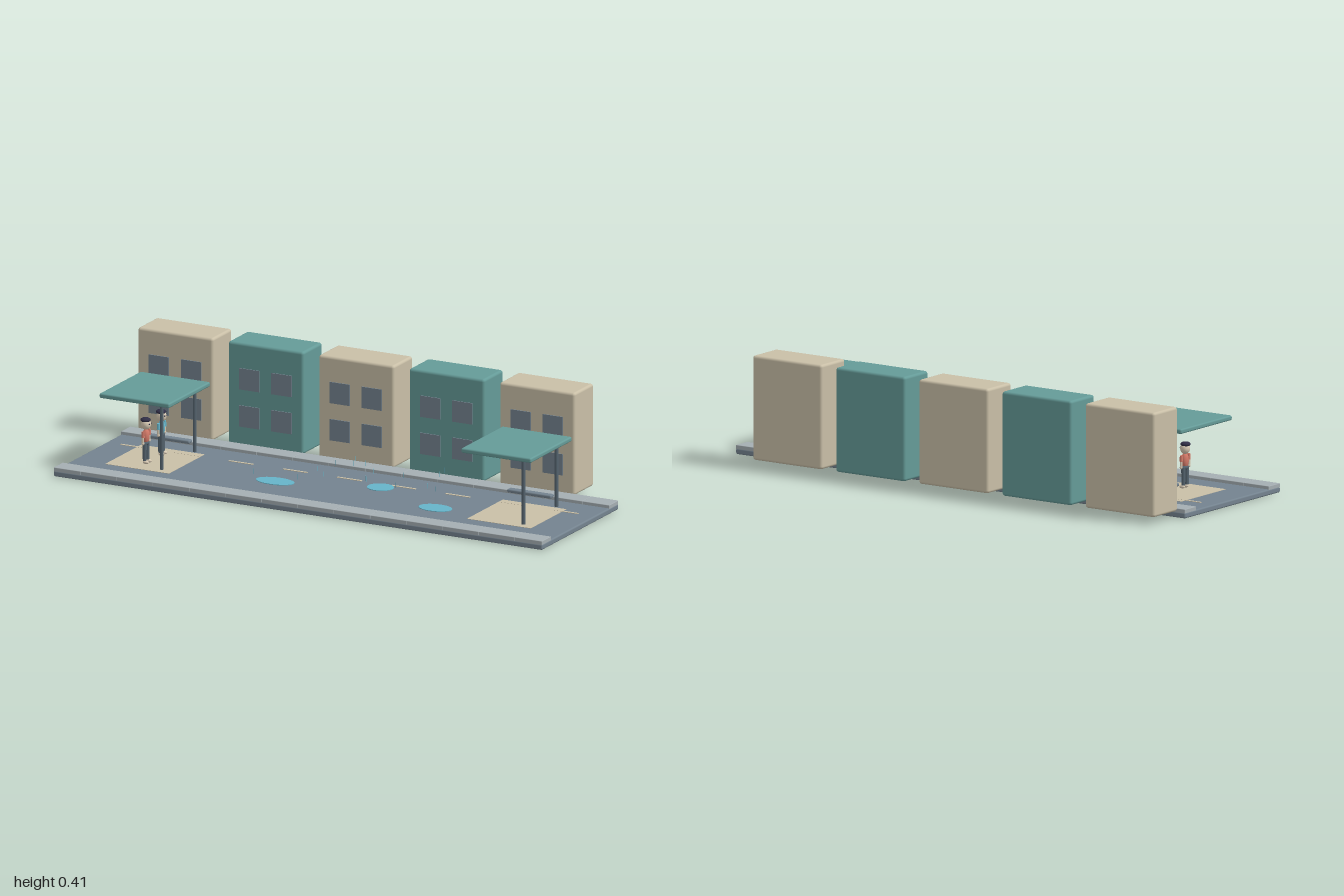
import * as THREE from 'three';
import { RoundedBoxGeometry } from 'three/addons/geometries/RoundedBoxGeometry.js';

const mat = (name, color) => Object.assign(new THREE.MeshStandardMaterial({ color }), { name });

export function createModel() {
  const M = {
    slate: mat('slate', 0x74838f), kerb: mat('kerb grey', 0xa5aeb2), sand: mat('sand', 0xc9bfa7),
    teal: mat('teal', 0x659b98), water: mat('water blue', 0x66b4c9), coral: mat('coral', 0xd47a69),
    navy: mat('dark navy', 0x302e46), post: mat('post grey', 0x55646f), skin: mat('skin', 0xd8cab4),
  };
  const root = new THREE.Group();
  root.name = 'rainyStreet';

  const add = (parent, name, geo, material, x, y, z) => {
    const m = new THREE.Mesh(geo, material);
    m.name = name;
    m.position.set(x, y, z);
    parent.add(m);
    return m;
  };
  // box given by its low and high corners, optionally rounded
  const box = (parent, name, material, x0, x1, y0, y1, z0, z1, r = 0) => {
    const s = [x1 - x0, y1 - y0, z1 - z0];
    const geo = r ? new RoundedBoxGeometry(...s, 3, r) : new THREE.BoxGeometry(...s);
    return add(parent, name, geo, material, (x0 + x1) / 2, (y0 + y1) / 2, (z0 + z1) / 2);
  };
  const ball = (parent, name, material, x, y, z, rx, ry, rz) =>
    add(parent, name, new THREE.SphereGeometry(1, 20, 14), material, x, y, z).scale.set(rx, ry, rz);
  const rod = (parent, name, material, x, y0, y1, z, r, r1 = r) =>
    add(parent, name, new THREE.CylinderGeometry(r1, r, y1 - y0, 14), material, x, (y0 + y1) / 2, z);

  // Road slab
  box(root, 'road', M.slate, -1, 1, 0, 0.022, -0.22, 0.37, 0.006);

  // Paved kerbs on both sides
  for (const [z0, z1] of [[0.299, 0.369], [-0.219, -0.149]]) {
    for (let i = -7; i < 7; i++) {
      const x0 = Math.max(i * 0.148, -0.999), x1 = Math.min((i + 1) * 0.148, 0.999);
      box(root, 'pavingSlab', M.kerb, x0, x1, 0.018, 0.034, z0, z1, 0.002);
    }
  }

  // Dashed road line
  for (let i = 0; i < 9; i++) {
    const x = -0.89 + i * 0.2215;
    box(root, 'laneDash', M.sand, x - 0.05, x + 0.05, 0.021, 0.0238, -0.041, -0.031);
  }

  // Puddles
  for (const [x, z, rx, rz] of [[-0.227, 0.115, 0.075, 0.043], [0.145, 0.005, 0.05, 0.045], [0.443, 0.143, 0.065, 0.043]]) {
    add(root, 'puddle', new THREE.CylinderGeometry(1, 1, 0.003, 32), M.water, x, 0.0228, z).scale.set(rx, 1, rz);
  }

  // Row of houses with four windows each
  for (let i = 0; i < 5; i++) {
    const house = new THREE.Group();
    house.name = 'house';
    house.position.x = -0.816 + i * 0.37;
    root.add(house);
    box(house, 'walls', i % 2 ? M.teal : M.sand, -0.154, 0.154, 0.025, 0.41, -0.37, -0.222, 0.01);
    for (const x of [-0.066, 0.066]) for (const y of [0.136, 0.276]) {
      box(house, 'window', M.slate, x - 0.041, x + 0.041, y - 0.04, y + 0.04, -0.224, -0.218);
    }
  }

  // Two bus shelters
  for (const cx of [-0.742, 0.738]) {
    const shelter = new THREE.Group();
    shelter.name = 'shelter';
    shelter.position.x = cx;
    root.add(shelter);
    box(shelter, 'floorPad', M.sand, -0.13, 0.13, 0.021, 0.0232, -0.065, 0.21);
    box(shelter, 'roof', M.teal, -0.143, 0.143, 0.275, 0.293, -0.085, 0.233, 0.006);
    for (const z of [0.202, -0.051]) rod(shelter, 'post', M.post, 0.097, 0.032, 0.277, z, 0.0068);
    box(shelter, 'bench', M.slate, -0.09, 0.09, 0.067, 0.08, -0.047, -0.02, 0.005);
  }

  // Waiting people, built facing +z and turned to look along the street
  const person = (x, z, shirt) => {
    const p = new THREE.Group();
    p.name = 'person';
    p.position.set(x, 0, z);
    p.rotation.y = Math.PI / 2;
    root.add(p);
    ball(p, 'torso', shirt, 0, 0.127, 0, 0.0155, 0.029, 0.0125);
    ball(p, 'hips', M.post, 0, 0.101, 0, 0.015, 0.009, 0.011);
    rod(p, 'neck', M.skin, 0, 0.148, 0.16, 0, 0.006);
    ball(p, 'head', M.skin, 0, 0.171, 0, 0.0185, 0.021, 0.018);
    ball(p, 'hair', M.navy, 0, 0.187, -0.002, 0.0185, 0.009, 0.019);
    for (const s of [-1, 1]) {
      ball(p, 'eye', M.navy, s * 0.0065, 0.174, 0.0165, 0.0025, 0.003, 0.0025);
      rod(p, 'sleeve', shirt, s * 0.0235, 0.126, 0.148, 0, 0.0065, 0.0055);
      rod(p, 'forearm', M.skin, s * 0.0245, 0.106, 0.128, 0, 0.0045);
      ball(p, 'hand', M.skin, s * 0.0245, 0.104, 0, 0.0055, 0.0065, 0.0055);
      rod(p, 'leg', M.post, s * 0.011, 0.036, 0.102, 0, 0.0068, 0.008);
      ball(p, 'foot', M.skin, s * 0.011, 0.031, 0.005, 0.0075, 0.0065, 0.012);
    }
  };
  person(-0.745, 0.135, M.coral);
  person(-0.745, 0.016, M.water);

  // Falling raindrops
  let seed = 7;
  const rnd = () => (seed = (seed * 16807) % 2147483647) / 2147483647;
  for (let i = 0; i < 26; i++) {
    const x = -0.25 + rnd() * 0.75, z = -0.14 + rnd() * 0.41, y = 0.08 + rnd() * 0.012;
    add(root, 'raindrop', new THREE.CylinderGeometry(0.0006, 0.0006, 0.02, 6), M.water, x, y + 0.006, z);
  }
  return root;
}
